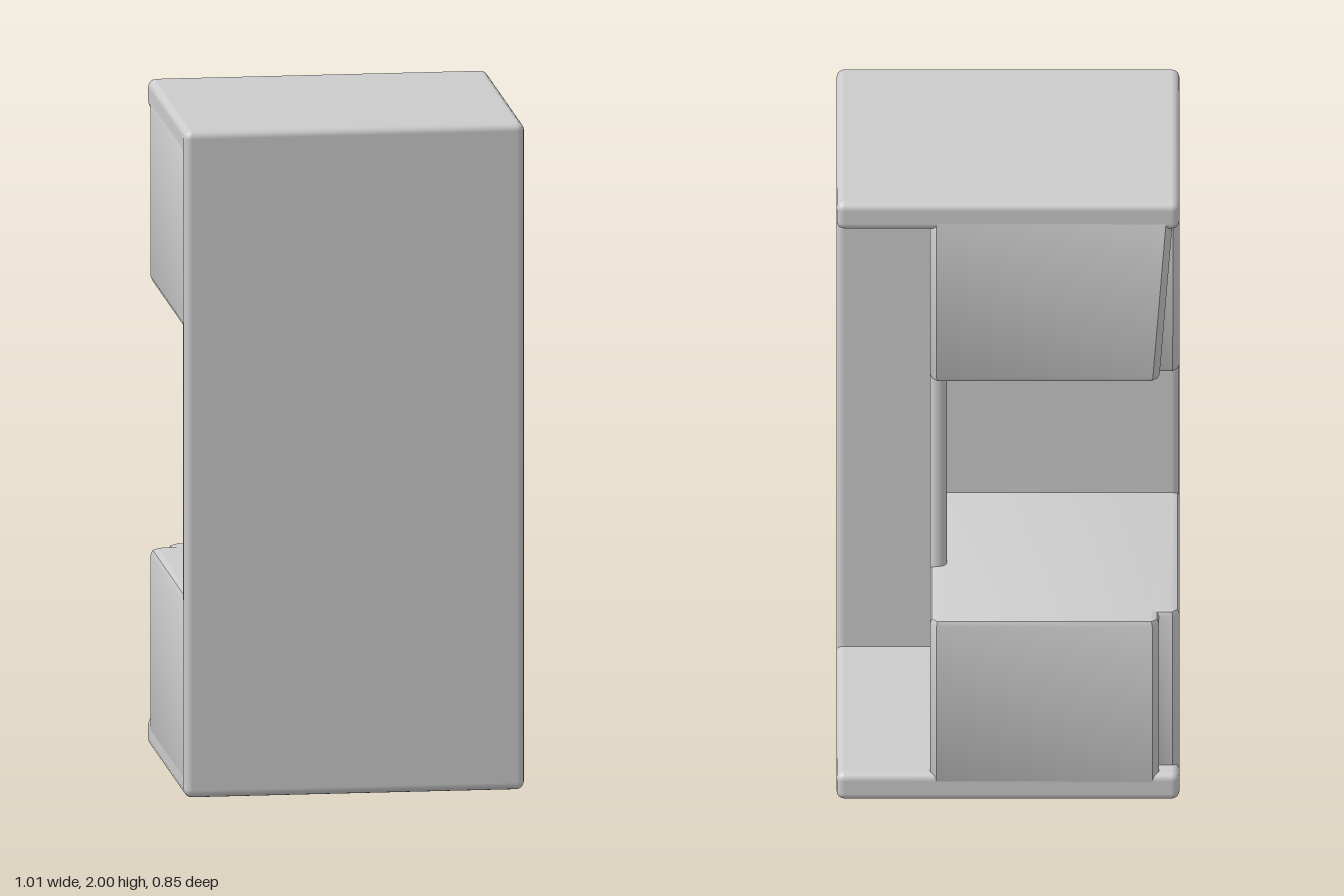
import * as THREE from 'three';
import { RoundedBoxGeometry } from 'three/addons/geometries/RoundedBoxGeometry.js';
import { toCreasedNormals } from 'three/addons/utils/BufferGeometryUtils.js';

const material = new THREE.MeshStandardMaterial({ color: 0xcccccc });
const BEVEL = 0.024;

// Rounded box given by its limits on each axis
function slab(name, [x0, x1], [y0, y1], [z0, z1]) {
  const geometry = new RoundedBoxGeometry(x1 - x0, y1 - y0, z1 - z0, 2, BEVEL);
  geometry.translate((x0 + x1) / 2, (y0 + y1) / 2, (z0 + z1) / 2);
  const mesh = new THREE.Mesh(geometry, material);
  mesh.name = name;
  return mesh;
}

// Solid block with a notched rear corner; taper closes the notch towards the top
function block(name, y0, y1, taper) {
  const c = 0.02;
  const outline = [
    [-0.505, -0.4], [0.23, -0.4],
    [0.23, 0.425 - c], [0.23 - c, 0.425],
    [-0.445 + c, 0.425], [-0.445, 0.425 - c],
    [-0.445, 0.365], [-0.505 + c, 0.365], [-0.505, 0.365 - c],
  ].map(([x, y]) => new THREE.Vector2(x, y));
  let geometry = new THREE.ExtrudeGeometry(new THREE.Shape(outline), {
    depth: y1 - y0 - 2 * c, bevelSize: c, bevelThickness: c, bevelOffset: -c, bevelSegments: 2,
  });
  geometry.rotateX(-Math.PI / 2).translate(0, y0 + c, 0);
  const p = geometry.attributes.position;
  for (let i = 0; i < p.count; i++) {
    const x = p.getX(i);
    if (x > -0.47 && x < -0.4 && p.getZ(i) < -0.34) {
      p.setX(i, x - taper * (p.getY(i) - y0) / (y1 - y0));
    }
  }
  geometry = toCreasedNormals(geometry, 0.5);
  const mesh = new THREE.Mesh(geometry, material);
  mesh.name = name;
  return mesh;
}

export function createModel() {
  const group = new THREE.Group();
  group.name = 'housing';
  const width = [-0.505, 0.505];
  const depth = [-0.425, 0.425];

  group.add(
    // Outer plates, overhanging on the left side
    slab('frontPlate', width, [0, 2], [0.365, 0.425]),
    slab('topPlate', width, [1.91, 2], depth),
    slab('bottomPlate', width, [0, 0.09], depth),
    // Blocks above and below the open gap
    block('lowerBlock', 0.04, 0.605, 0),
    block('upperBlock', 1.4, 1.96, 0.042),
    // Thin wall joining the blocks, set back from the rear
    slab('sideWall', [0.18, 0.23], [0.53, 1.47], [-0.09, 0.4]),
  );
  return group;
}
